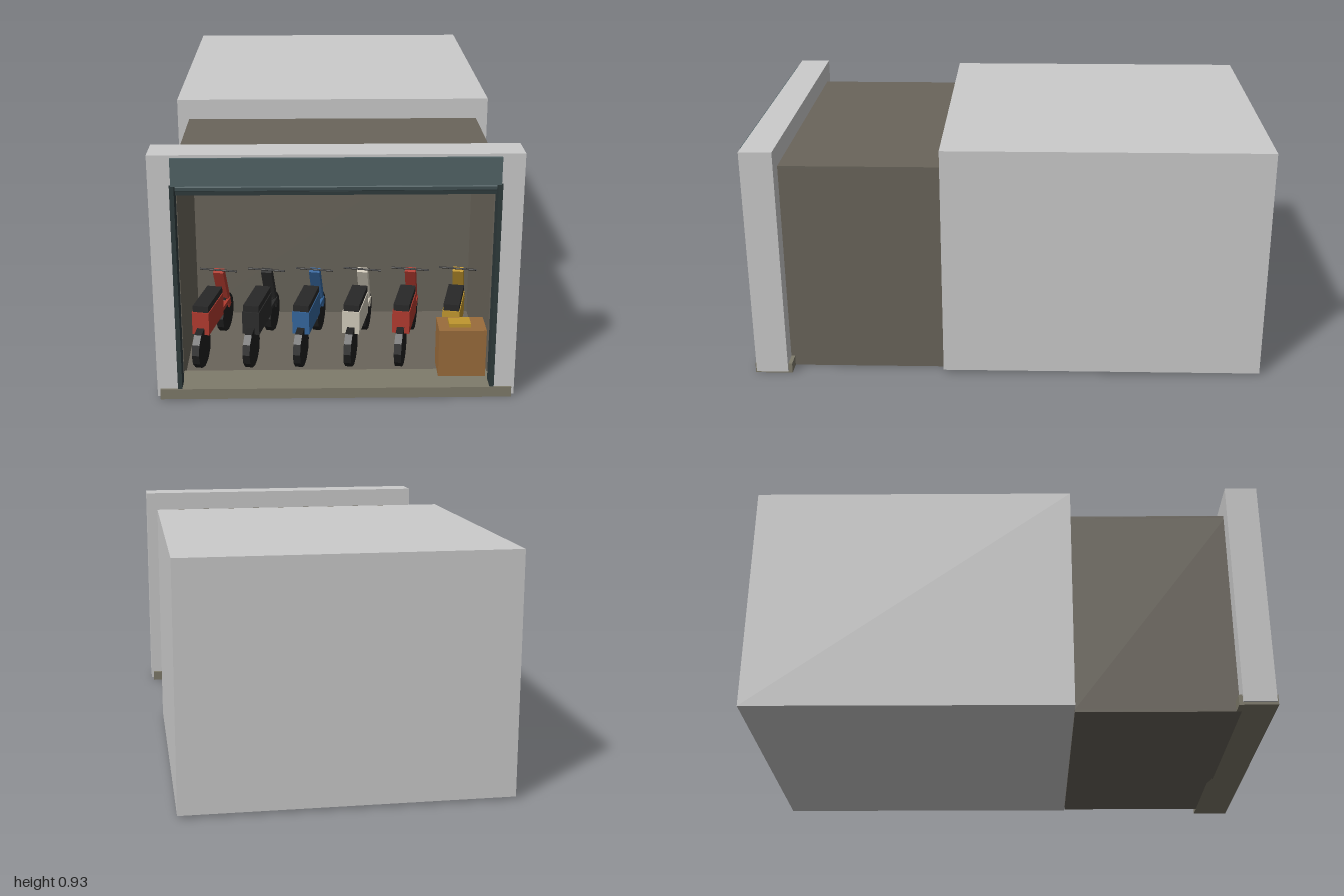
import * as THREE from 'three';

const material = (color) => new THREE.MeshStandardMaterial({ color, flatShading: true });
const grey = material(0xcccccc);
const wall = material(0x6a655b);
const slab = material(0x7f7b6b);
const teal = material(0x526467);
const darkTeal = material(0x2f3b3c);
const tyre = material(0x202020);
const dark = material(0x282828);

function add(parent, name, geometry, mat, x = 0, y = 0, z = 0) {
  const mesh = new THREE.Mesh(geometry, mat);
  mesh.name = name;
  mesh.position.set(x, y, z);
  parent.add(mesh);
  return mesh;
}

// Box given by its limits on each axis
function box(parent, name, mat, [x0, x1], [y0, y1], [z0, z1]) {
  return add(parent, name, new THREE.BoxGeometry(x1 - x0, y1 - y0, z1 - z0), mat,
    (x0 + x1) / 2, (y0 + y1) / 2, (z0 + z1) / 2);
}

// Scooter with its rear axle at the origin, pointing along -z
function createScooter(color) {
  const scooter = new THREE.Group();
  scooter.name = 'scooter';
  const paint = material(color);

  const wheel = new THREE.CylinderGeometry(0.078, 0.078, 0.028, 12).rotateZ(Math.PI / 2);
  add(scooter, 'rearWheel', wheel, tyre, 0, 0.078, 0);
  add(scooter, 'frontWheel', wheel, tyre, 0, 0.078, -0.33);

  box(scooter, 'body', paint, [-0.033, 0.033], [0.13, 0.22], [-0.2, 0]);
  box(scooter, 'seat', dark, [-0.03, 0.03], [0.22, 0.245], [-0.2, -0.005]);
  box(scooter, 'footboard', paint, [-0.025, 0.025], [0.13, 0.145], [-0.33, -0.2]);

  // Raked steering column and handlebar
  const column = add(scooter, 'steeringColumn',
    new THREE.BoxGeometry(0.042, 0.2, 0.026), paint, 0, 0.195, -0.3);
  column.rotation.x = 0.42;
  const bar = new THREE.CylinderGeometry(0.004, 0.004, 0.15, 8).rotateZ(Math.PI / 2);
  add(scooter, 'handlebar', bar, dark, 0, 0.291, -0.255);
  return scooter;
}

export function createModel() {
  const model = new THREE.Group();
  model.name = 'scooterGarage';

  // Solid rear building
  box(model, 'rearBuilding', grey, [-0.62, 0.62], [0.01, 0.93], [-1, 0.25]);

  // Open room
  const room = new THREE.Group();
  room.name = 'room';
  model.add(room);
  box(room, 'floor', wall, [-0.575, 0.575], [0, 0.01], [0.25, 0.87]);
  box(room, 'ceiling', wall, [-0.575, 0.575], [0.84, 0.85], [0.25, 0.87]);
  box(room, 'backWall', wall, [-0.565, 0.565], [0.01, 0.84], [0.251, 0.27]);

  // Front surround
  const surround = new THREE.Group();
  surround.name = 'frontSurround';
  model.add(surround);
  for (const s of [-1, 1]) {
    const side = (a, b) => (s > 0 ? [a, b] : [-b, -a]);
    box(room, 'sideWall', wall, side(0.565, 0.575), [0.01, 0.84], [0.25, 0.87]);
    box(surround, 'post', grey, side(0.575, 0.65), [0.01, 0.93], [0.865, 0.99]);
    box(surround, 'shutterRail', darkTeal, side(0.56, 0.576), [0.04, 0.822], [0.93, 0.992]);
  }
  box(surround, 'lintel', grey, [-0.575, 0.575], [0.82, 0.93], [0.865, 0.99]);
  box(surround, 'threshold', slab, [-0.64, 0.64], [0, 0.04], [0.85, 0.996]);

  // Shutter housing and the rolled-up shutter below it
  box(surround, 'shutterHousing', teal, [-0.57, 0.57], [0.82, 0.92], [0.985, 1]);
  box(surround, 'shutterBottomRail', darkTeal, [-0.56, 0.56], [0.772, 0.785], [0.93, 0.955]);
  const roll = new THREE.CylinderGeometry(0.022, 0.022, 1.12, 10).rotateZ(Math.PI / 2);
  add(surround, 'shutterRoll', roll, teal, 0, 0.803, 0.942);

  // Row of parked scooters
  const colors = [0xb03a2e, 0x2c2c2c, 0x34659b, 0xcfc8b8, 0xb03a2e, 0xc0962e];
  colors.forEach((color, i) => {
    const scooter = createScooter(color);
    scooter.position.set(-0.51 + 0.19 * i, 0.01, 0.75);
    scooter.rotation.y = -0.21;
    model.add(scooter);
  });

  // Crate with a small parcel on top
  box(model, 'crate', material(0x9a6c3c), [0.38, 0.555], [0.04, 0.225], [0.79, 0.91]);
  box(model, 'parcel', material(0xc0962e), [0.42, 0.5], [0.225, 0.238], [0.82, 0.88]);

  return model;
}
